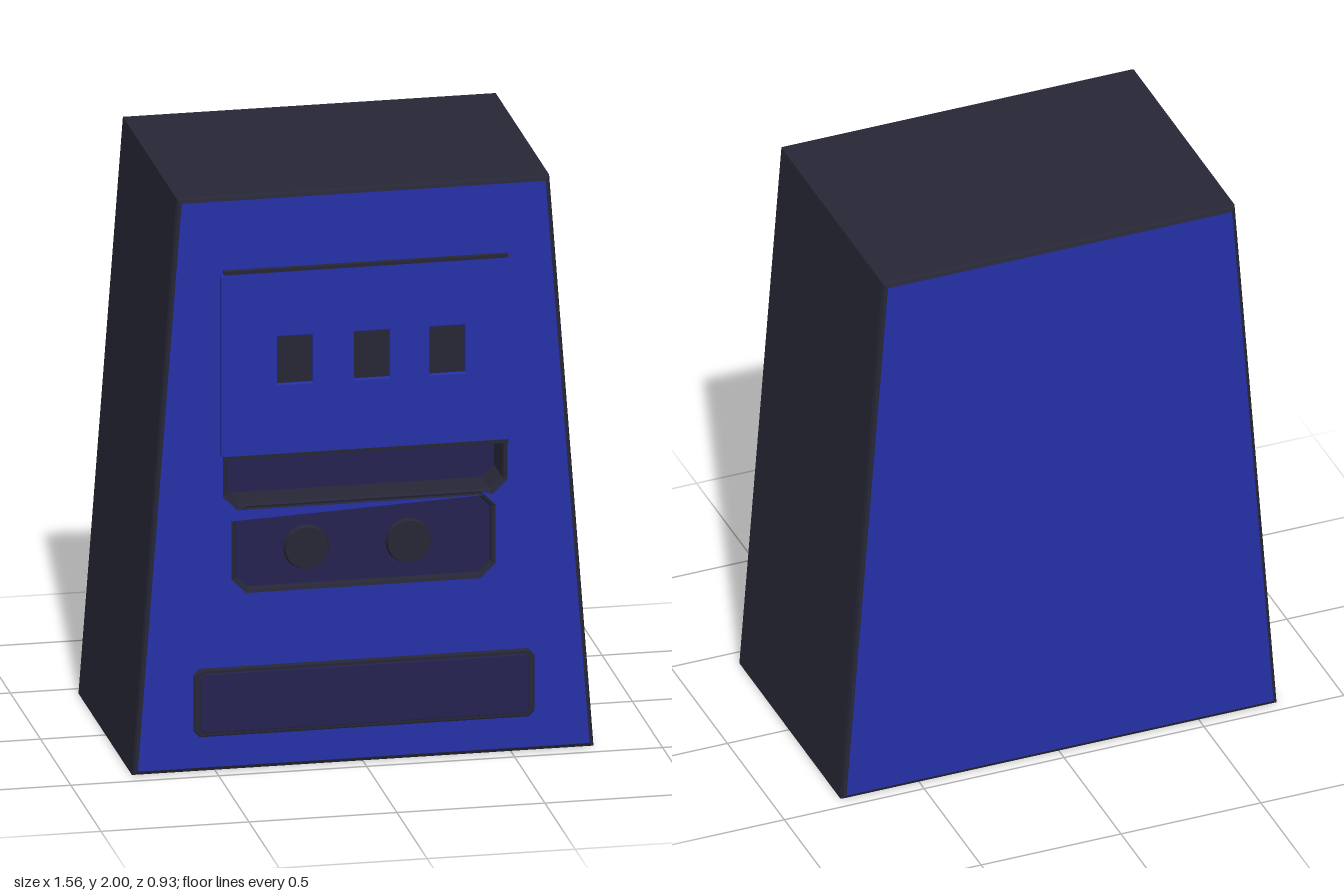
import * as THREE from 'three';

export function createModel() {
  const model = new THREE.Group();
  const mat = (name, color, extra) => {
    const m = new THREE.MeshStandardMaterial({ color });
    m.name = name;
    return m;
  };
  const blue = mat('cabinet blue', 0x2530a6);
  const dark = mat('trim charcoal', 0x262636);
  const purple = mat('inset dark indigo', 0x242250);

  const add = (name, geometry, material, x = 0, y = 0, z = 0) => {
    const mesh = new THREE.Mesh(geometry, material);
    mesh.name = name;
    mesh.position.set(x, y, z);
    model.add(mesh);
    return mesh;
  };

  // Rectangle with cut corners, drawn into a Shape or Path
  const cutRect = (p, x0, x1, y0, y1, bottom = 0, top = bottom) => {
    p.moveTo(x0 + bottom, y0);
    p.lineTo(x1 - bottom, y0);
    if (bottom) p.lineTo(x1, y0 + bottom);
    p.lineTo(x1, y1 - top);
    if (top) p.lineTo(x1 - top, y1);
    p.lineTo(x0 + top, y1);
    if (top) p.lineTo(x0, y1 - top);
    p.lineTo(x0, y0 + bottom);
    p.closePath();
    return p;
  };

  // Bevelled slab whose outside stays on the outline, from z0 to z1
  const slab = (shape, z0, z1, bevel) => {
    const g = new THREE.ExtrudeGeometry(shape, {
      depth: z1 - z0 - 2 * bevel,
      bevelEnabled: bevel > 0,
      bevelThickness: bevel,
      bevelSize: bevel,
      bevelOffset: -bevel,
      bevelSegments: 2,
      curveSegments: 8,
    });
    return g.translate(0, 0, z0 + bevel);
  };

  const trapezoid = () => {
    const s = new THREE.Shape();
    s.moveTo(-0.78, 0);
    s.lineTo(0.78, 0);
    s.lineTo(0.63, 2);
    s.lineTo(-0.63, 2);
    s.closePath();
    return s;
  };

  // Cabinet: solid rear and a front section with two openings
  add('cabinetRear', slab(trapezoid(), -0.465, 0.3, 0.016), [blue, dark]);
  const front = trapezoid();
  front.holes.push(
    cutRect(new THREE.Path(), -0.46, 0.47, 0.92, 1.09, 0.04, 0),
    cutRect(new THREE.Path(), -0.43, 0.43, 0.63, 0.9, 0.04),
  );
  add('cabinetFront', slab(front, 0.26, 0.45, 0.016), [blue, dark]);

  // Slot below the display: indigo back and blue floor
  add('slotBack', new THREE.BoxGeometry(0.96, 0.21, 0.008), purple, 0.005, 1.005, 0.305);
  add('slotFloor', new THREE.BoxGeometry(0.86, 0.008, 0.12), blue, 0.005, 0.914, 0.37);

  // Control inset with two round buttons
  add('controlInset', new THREE.BoxGeometry(0.9, 0.296, 0.125), purple, 0, 0.764, 0.3625);
  for (const x of [-0.19, 0.155]) {
    const button = new THREE.CylinderGeometry(0.072, 0.078, 0.02, 20).rotateX(Math.PI / 2);
    add('button', button, dark, x, 0.755, 0.433);
  }

  // Raised display panel with three square windows
  const panel = cutRect(new THREE.Shape(), -0.485, 0.495, 1.09, 1.735, 0.012);
  const windows = [-0.235, 0.025, 0.28];
  for (const x of windows) {
    panel.holes.push(cutRect(new THREE.Path(), x - 0.06, x + 0.06, 1.34, 1.505));
  }
  add('displayPanel', slab(panel, 0.44, 0.467, 0.004), blue);
  for (const x of windows) {
    add('displayWindow', new THREE.BoxGeometry(0.14, 0.185, 0.008), dark, x, 1.4225, 0.45);
  }
  // Dark seams along the top and bottom of the panel
  for (const y of [1.737, 1.092]) {
    add('panelSeam', new THREE.BoxGeometry(0.96, 0.012, 0.02), dark, 0.005, y, 0.458);
  }

  // Raised kick plate with a dark frame
  const frame = cutRect(new THREE.Shape(), -0.575, 0.575, 0.125, 0.36, 0.02);
  add('kickPlateFrame', slab(frame, 0.44, 0.464, 0.005), dark);
  const plate = cutRect(new THREE.Shape(), -0.555, 0.555, 0.14, 0.345, 0.015);
  add('kickPlate', slab(plate, 0.45, 0.469, 0.003), purple);

  return model;
}
